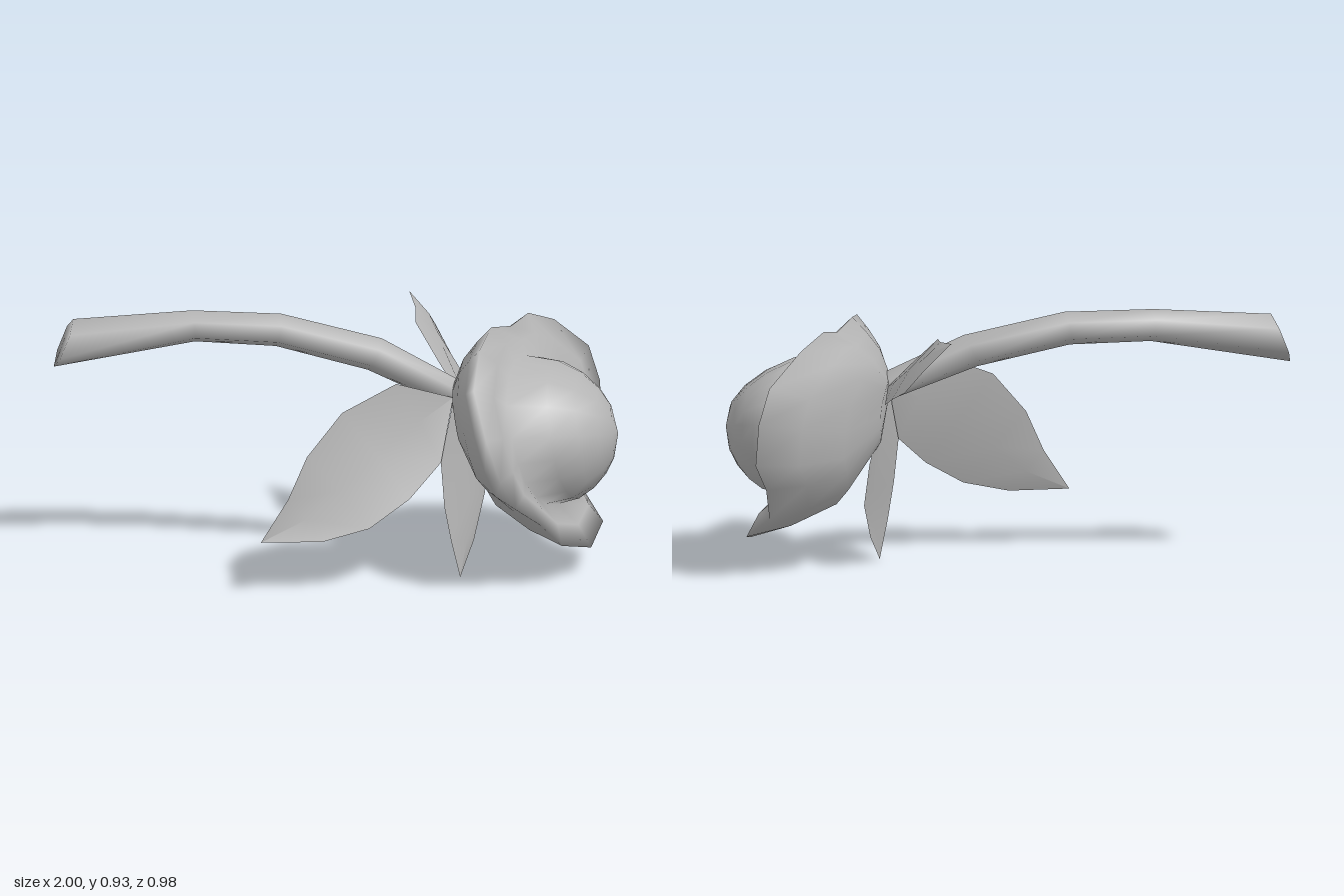
import * as THREE from 'three';

const V = (p) => new THREE.Vector3(...p);
const grey = new THREE.MeshStandardMaterial({ color: 0xb4b4b4, side: THREE.DoubleSide });
grey.name = 'soft grey';

// Skin between rows of points; closed rows wrap around
function loft(name, rows, closed) {
  const n = rows[0].length, index = [];
  for (let i = 0; i < rows.length - 1; i++) {
    for (let j = 0; j < (closed ? n : n - 1); j++) {
      const k = (j + 1) % n, a = i * n + j, b = i * n + k;
      index.push(a, b, a + n, b, b + n, a + n);
    }
  }
  const g = new THREE.BufferGeometry().setFromPoints(rows.flat());
  g.setIndex(index);
  g.computeVertexNormals();
  const mesh = new THREE.Mesh(g, grey);
  mesh.name = name;
  return mesh;
}

// Leaf from two edges that share a base and a tip, with a slight fold along the middle
function leaf(name, base, tip, edgeA, edgeB, fold) {
  const rows = [[V(base), V(base), V(base)]];
  edgeA.forEach((p, i) => {
    const a = V(p), b = V(edgeB[i]);
    rows.push([a, a.clone().lerp(b, 0.5).add(V(fold)), b]);
  });
  rows.push([V(tip), V(tip), V(tip)]);
  return loft(name, rows, false);
}

export function createModel() {
  const flower = new THREE.Group();
  flower.name = 'flower';

  // Wavy, tilted rim of the outer petals
  const rim = [
    [0.55, 0.91, 0.02], [0.49, 0.88, 0.21], [0.455, 0.78, 0.37], [0.49, 0.62, 0.47],
    [0.54, 0.47, 0.49], [0.6, 0.35, 0.43], [0.7, 0.26, 0.34], [0.78, 0.165, 0.28],
    [0.9, 0.105, 0.11], [0.96, 0.145, -0.08], [0.9, 0.23, -0.19], [0.93, 0.35, -0.27],
    [0.98, 0.45, -0.32], [0.97, 0.6, -0.325], [0.93, 0.73, -0.32], [0.8, 0.85, -0.26],
    [0.7, 0.9, -0.18], [0.63, 0.88, -0.09],
  ].map(V);
  const base = V([0.41, 0.63, 0.03]);
  const axis = V([0.84, 0.38, 0.38]);

  // Cup: rings from the stem out to the rim, bulging backwards where it is deep
  const cup = [[0, 0], [0.3, 0.18], [0.65, 0.24], [0.85, 0.14], [1, 0]].map(([t, bulge]) =>
    rim.map((p) => base.clone().lerp(p, t).addScaledVector(axis, -bulge * (p.x - 0.3))));

  // Bud: rings that start in the hollow of the cup and close at the front,
  // fuller towards the upper back where its petal wraps into the cup
  const bud = [[0, 1.08], [0.35, 1], [0.6, 0.84], [0.8, 0.62], [0.93, 0.38], [1, 0]].map(([s, r]) =>
    rim.map((p) => {
      const a = Math.atan2(p.y - 0.525, p.z - 0.08);
      const sin = Math.sin(a), cos = Math.cos(a), rear = Math.max(0, -cos);
      const full = r * (1 + 0.4 * Math.max(0, sin) * rear);
      const foot = 0.58 + 0.45 * (p.x - 0.45) + 0.04 * rear;
      return V([foot + (1 - foot) * s, 0.52 + 0.235 * full * sin, 0.08 + 0.22 * full * cos]);
    }));

  // Shoulder joining the rim to the bud
  const shoulder = rim.map((p, j) => p.clone().lerp(bud[0][j], 0.5).addScaledVector(axis, 0.015));
  flower.add(loft('blossom', [...cup, shoulder, ...bud], true));

  // Curved stem: centre, radius up, radius across, lean of the section
  const stem = [
    [-0.965, 0.818, -0.23, 0, 0, 0],
    [-0.965, 0.818, -0.23, 0.088, 0.068, 0.035],
    [-0.5, 0.878, -0.2, 0.058, 0.068, -0.005],
    [-0.2, 0.87, -0.15, 0.06, 0.067, 0.01],
    [0.14, 0.79, -0.085, 0.058, 0.062, 0.025],
    [0.44, 0.65, 0.005, 0.045, 0.05, 0.025],
  ].map(([x, y, z, ry, rz, lean]) => Array.from({ length: 6 }, (_, i) => {
    const a = (i / 6) * Math.PI * 2;
    return V([x + lean * Math.cos(a), y + ry * Math.cos(a), z + rz * Math.sin(a)]);
  }));
  flower.add(loft('stem', stem, true));

  // Three leaves below the flower head
  flower.add(
    leaf('longLeaf', [0.41, 0.66, 0.05], [-0.3, 0.2, 0.26],
      [[0.2, 0.735, 0.11], [0, 0.65, 0.17], [-0.13, 0.5, 0.21], [-0.2, 0.35, 0.235]],
      [[0.36, 0.44, 0.12], [0.24, 0.33, 0.2], [0.09, 0.24, 0.255], [-0.08, 0.2, 0.27]],
      [0.005, 0, -0.015]),
    leaf('lowerLeaf', [0.41, 0.64, 0.04], [0.43, 0.005, 0.105],
      [[0.36, 0.44, 0.11], [0.37, 0.28, 0.14], [0.395, 0.15, 0.125]],
      [[0.52, 0.4, -0.13], [0.54, 0.25, -0.13], [0.49, 0.11, -0.01]],
      [0.015, 0, 0.01]),
    leaf('backLeaf', [0.43, 0.66, -0.03], [0.3, 0.9, -0.49],
      [[0.37, 0.75, -0.11], [0.3, 0.86, -0.23], [0.305, 0.88, -0.29], [0.31, 0.88, -0.35]],
      [[0.47, 0.62, -0.16], [0.47, 0.66, -0.27], [0.44, 0.7, -0.35], [0.39, 0.79, -0.43]],
      [0.012, 0.01, 0]),
  );
  return flower;
}
